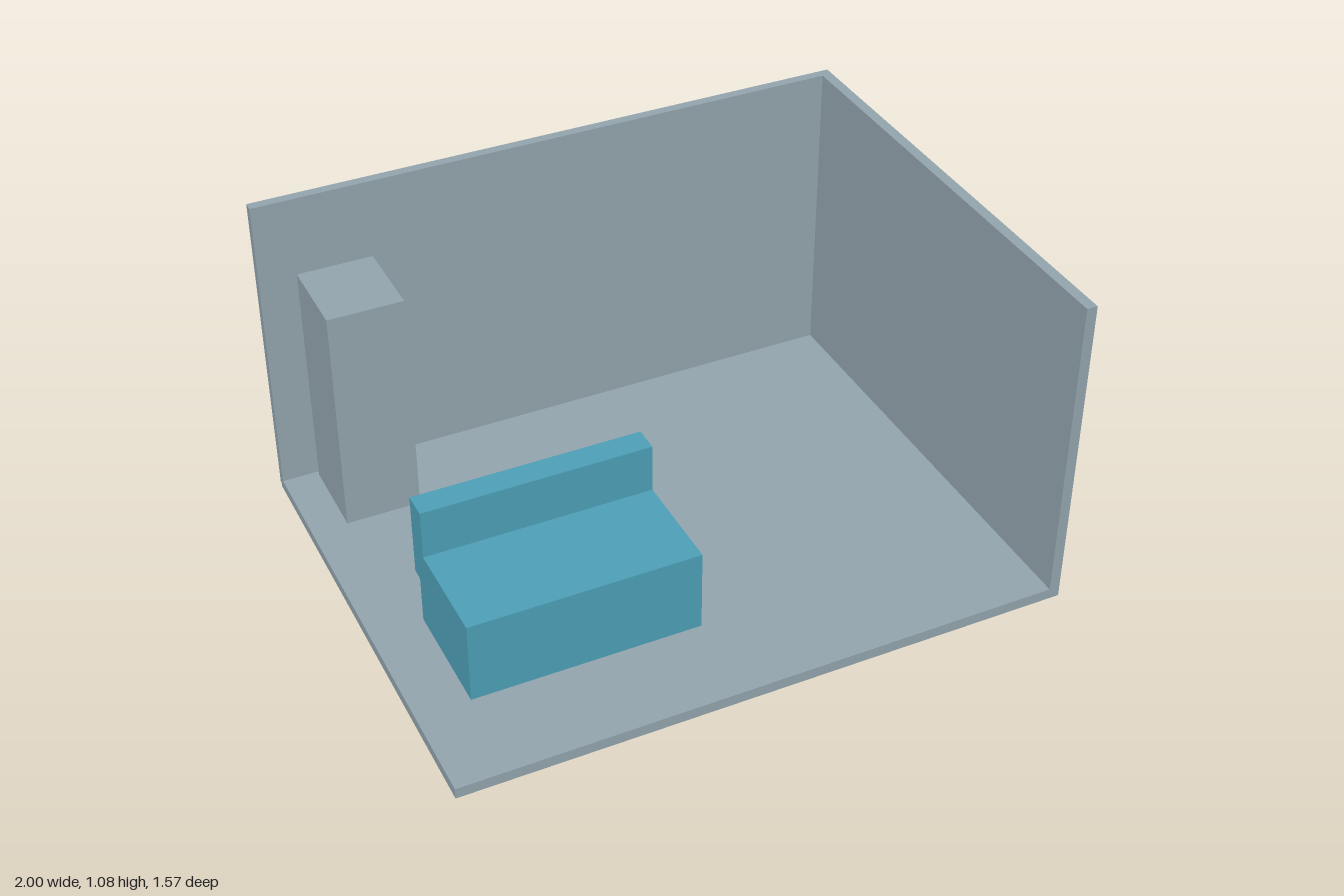
import * as THREE from 'three';

const wallGrey = new THREE.MeshStandardMaterial({ color: 0x93a4ad });
wallGrey.name = 'blueGrey';
const sofaBlue = new THREE.MeshStandardMaterial({ color: 0x4d9fb7 });
sofaBlue.name = 'tealBlue';

// Box given by its limits on each axis
function box(name, material, [x0, x1], [y0, y1], [z0, z1]) {
  const geometry = new THREE.BoxGeometry(x1 - x0, y1 - y0, z1 - z0);
  const mesh = new THREE.Mesh(geometry, material);
  mesh.name = name;
  mesh.position.set((x0 + x1) / 2, (y0 + y1) / 2, (z0 + z1) / 2);
  return mesh;
}

export function createModel() {
  const room = new THREE.Group();
  room.name = 'room';

  // Floor and the two walls; the back wall hangs slightly past the floor
  room.add(
    box('floor', wallGrey, [-1, 0.965], [0, 0.036], [-0.775, 0.785]),
    box('sideWall', wallGrey, [0.965, 1], [0, 1.075], [-0.775, 0.785]),
    box('backWall', wallGrey, [-1, 1], [0.015, 1.075], [-0.785, -0.753]),
  );

  // Tall cabinet in the back corner
  room.add(box('cabinet', wallGrey, [-0.887, -0.64], [0.05, 0.83], [-0.718, -0.438]));

  // Sofa: seat block with a backrest that overhangs behind it
  const sofa = new THREE.Group();
  sofa.name = 'sofa';
  sofa.add(
    box('seat', sofaBlue, [-0.828, -0.08], [0.04, 0.318], [0.086, 0.475]),
    box('backrest', sofaBlue, [-0.828, -0.08], [0.203, 0.483], [0.046, 0.131]),
  );
  room.add(sofa);

  return room;
}
